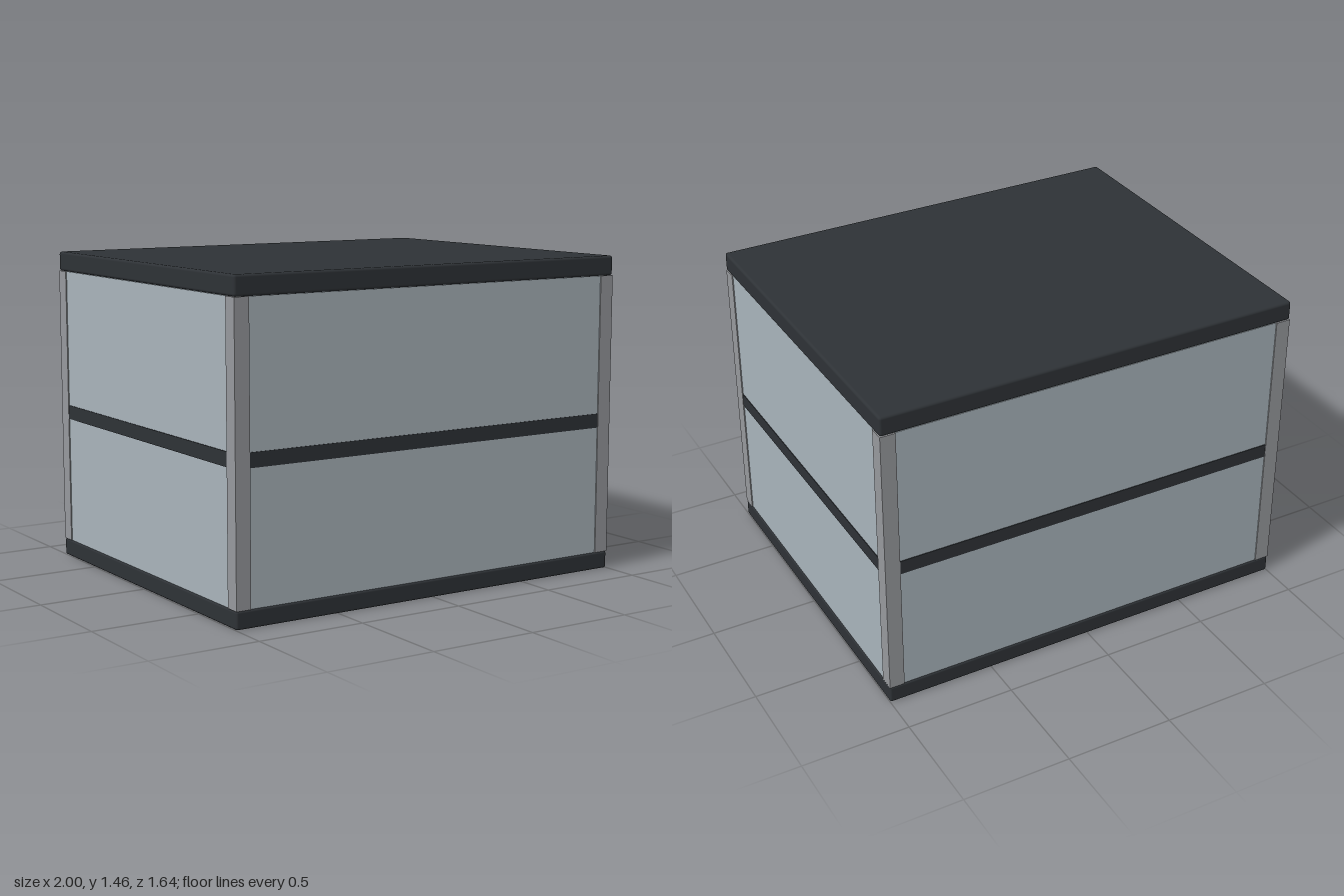
import * as THREE from 'three';
import { RoundedBoxGeometry } from 'three/addons/geometries/RoundedBoxGeometry.js';

const W = 2, D = 1.64;                 // overall footprint
const BASE = 0.08, LID = 1.37, TOP = 1.46;
const POST = 0.07, INSET = 0.005, GLASS = 0.02;

export function createModel() {
  const model = new THREE.Group();
  model.name = 'displayCabinet';
  const dark = new THREE.MeshStandardMaterial({ color: 0x2e3236 });
  const metal = new THREE.MeshStandardMaterial({ color: 0x97999d });
  const glass = new THREE.MeshStandardMaterial({ color: 0xa9b4bb });

  const add = (name, geometry, material, x, y, z) => {
    const mesh = new THREE.Mesh(geometry, material);
    mesh.name = name;
    mesh.position.set(x, y, z);
    model.add(mesh);
  };

  // Base and lid slabs with softened edges
  add('base', new RoundedBoxGeometry(W, BASE, D, 2, 0.01), dark, 0, BASE / 2, 0);
  add('lid', new RoundedBoxGeometry(W, TOP - LID, D, 2, 0.012), dark, 0, (TOP + LID) / 2, 0);

  const h = LID - BASE, midY = (LID + BASE) / 2;
  const innerW = W - 2 * POST, innerD = D - 2 * POST;

  // Corner posts
  const postGeometry = new THREE.BoxGeometry(POST, h, POST);
  for (const sx of [-1, 1]) {
    for (const sz of [-1, 1]) {
      add('cornerPost', postGeometry, metal, sx * (W - POST) / 2, midY, sz * (D - POST) / 2);
    }
  }

  // Panels set just inside the faces of the posts
  const frontGeometry = new THREE.BoxGeometry(innerW, h, GLASS);
  const sideGeometry = new THREE.BoxGeometry(GLASS, h, innerD);
  for (const s of [-1, 1]) {
    add(s > 0 ? 'frontPanel' : 'backPanel', frontGeometry, glass, 0, midY, s * (D / 2 - INSET - GLASS / 2));
    add(s > 0 ? 'leftPanel' : 'rightPanel', sideGeometry, glass, s * (W / 2 - INSET - GLASS / 2), midY, 0);
  }

  // Middle shelf, a cross-shaped slab notched around the posts
  const edge = 0.002;
  const x = W / 2 - edge, z = D / 2 - edge, nx = innerW / 2, nz = innerD / 2;
  const outline = [
    [-nx, -z], [nx, -z], [nx, -nz], [x, -nz], [x, nz], [nx, nz],
    [nx, z], [-nx, z], [-nx, nz], [-x, nz], [-x, -nz], [-nx, -nz],
  ].map(([a, b]) => new THREE.Vector2(a, b));
  const shelf = new THREE.ExtrudeGeometry(new THREE.Shape(outline), { depth: 0.065, bevelEnabled: false });
  shelf.rotateX(-Math.PI / 2);
  add('shelf', shelf, dark, 0, 0.67, 0);

  return model;
}
